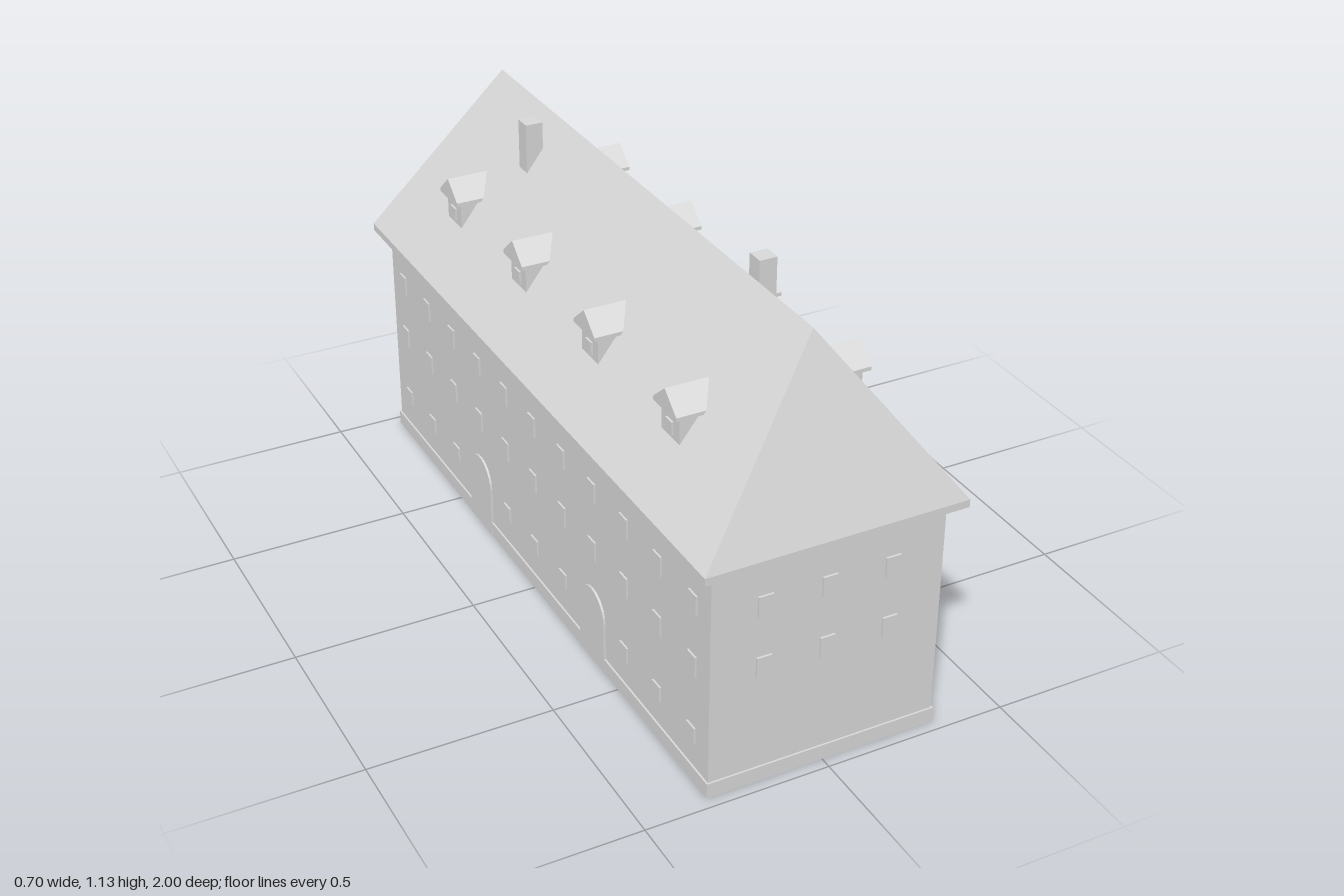
import * as THREE from 'three';
import { ConvexGeometry } from 'three/addons/geometries/ConvexGeometry.js';

const stone = new THREE.MeshStandardMaterial({ color: 0xd9d9d9 });
stone.name = 'light grey';

function add(parent, name, geometry, x = 0, y = 0, z = 0) {
  const mesh = new THREE.Mesh(geometry, stone);
  mesh.name = name;
  mesh.position.set(x, y, z);
  parent.add(mesh);
  return mesh;
}

const box = (w, h, d) => new THREE.BoxGeometry(w, h, d);

function extrude(shape, depth) {
  return new THREE.ExtrudeGeometry(shape, { depth, bevelEnabled: false, curveSegments: 6 });
}

const rectangle = (w, d) => [[-w, -d], [w, -d], [w, d], [-w, d]]
  .map(([x, y]) => new THREE.Vector2(x / 2, y / 2));

// Thin rectangular shell standing on y = 0, open at top and bottom
function shell(w, h, d, thickness) {
  const shape = new THREE.Shape(rectangle(w, d));
  shape.holes.push(new THREE.Path(rectangle(w - 2 * thickness, d - 2 * thickness)));
  return extrude(shape, h).rotateX(-Math.PI / 2);
}

// Hipped roof with a short vertical eave edge
function hipRoof() {
  const points = [];
  for (const sx of [-1, 1]) for (const sz of [-1, 1]) for (const y of [0.643, 0.664]) {
    points.push(new THREE.Vector3(0.352 * sx, y, sz));
  }
  points.push(new THREE.Vector3(0, 1.132, -0.843), new THREE.Vector3(0, 1.132, 0.843));
  return new ConvexGeometry(points);
}

// Dormer facing local +z; its back end sinks into the main roof
function dormer() {
  const group = new THREE.Group();
  group.name = 'dormer';
  add(group, 'dormerWall', box(0.09, 0.08, 0.1), 0, 0.843, 0.196);
  add(group, 'dormerWindow', box(0.032, 0.036, 0.008), 0, 0.834, 0.248);
  const gable = new THREE.Shape([
    [-0.058, 0.878], [0.058, 0.878], [0.058, 0.888], [0, 0.938], [-0.058, 0.888],
  ].map(([x, y]) => new THREE.Vector2(x, y)));
  add(group, 'dormerRoof', extrude(gable, 0.162), 0, 0, 0.1);
  return group;
}

function archedDoor() {
  const shape = new THREE.Shape();
  shape.moveTo(-0.07, 0);
  shape.lineTo(0.07, 0);
  shape.lineTo(0.07, 0.15);
  shape.absarc(0, 0.15, 0.07, 0, Math.PI, false);
  shape.lineTo(-0.07, 0);
  return extrude(shape, 0.009);
}

// One long facade, built facing local +z and then turned to +x or -x
function longSide(side) {
  const group = new THREE.Group();
  group.name = side > 0 ? 'leftFacade' : 'rightFacade';
  const rows = [0.137, 0.34, 0.513];
  rows.forEach((y, row) => {
    for (let i = -5; i <= 5; i++) {
      const x = i * 0.176;
      if (side < 0 && row === 0 && Math.abs(i) === 2) {
        add(group, 'archedDoor', archedDoor(), x, 0, 0.311);
      } else {
        add(group, 'window', box(0.04, row ? 0.056 : 0.045, 0.008), x, y, 0.315);
      }
    }
  });
  for (const x of [-0.634, -0.211, 0.211, 0.634]) {
    const d = dormer();
    d.position.x = x;
    group.add(d);
  }
  group.rotation.y = side * Math.PI / 2;
  return group;
}

// Short end with two rows of three windows
function endSide(side) {
  const group = new THREE.Group();
  group.name = side > 0 ? 'frontEnd' : 'backEnd';
  for (const y of [0.34, 0.513]) for (const x of [-0.172, 0, 0.172]) {
    add(group, 'window', box(0.04, 0.056, 0.008), x, y, 0.965);
  }
  if (side < 0) group.rotation.y = Math.PI;
  return group;
}

export function createModel() {
  const model = new THREE.Group();
  model.name = 'longHouse';

  // Hollow walls, open underneath
  add(model, 'walls', shell(0.628, 0.645, 1.926, 0.006));
  add(model, 'plinth', shell(0.638, 0.042, 1.936, 0.006));
  add(model, 'roof', hipRoof());

  for (const s of [1, -1]) {
    model.add(longSide(s), endSide(s));
    add(model, 'chimney', box(0.048, 0.19, 0.048), 0.08 * s, 1.037, 0.482 * s);
  }
  return model;
}
